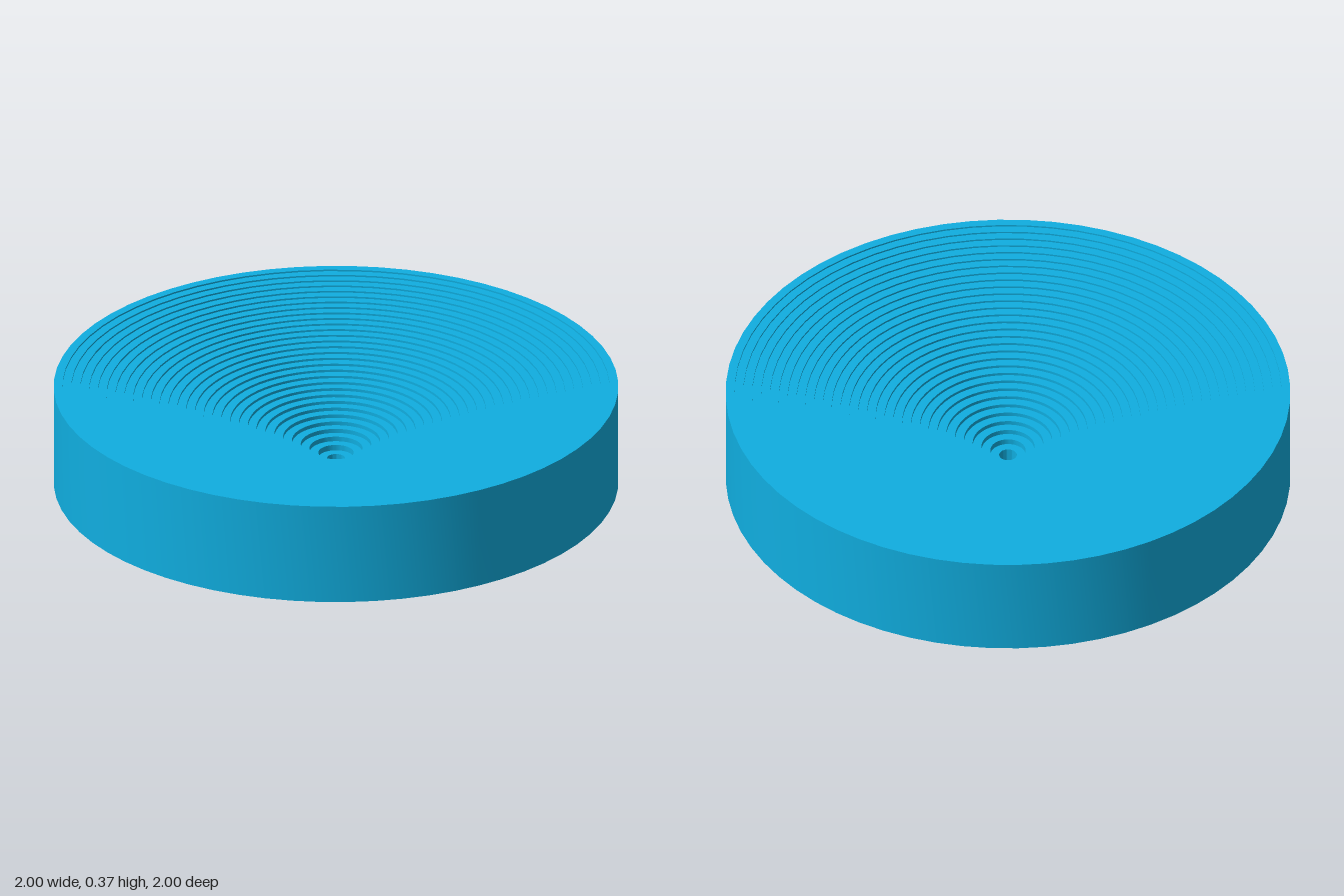
import * as THREE from 'three';
import { toCreasedNormals } from 'three/addons/utils/BufferGeometryUtils.js';

const RINGS = 32;      // equal-width concentric steps, the first one is the open hole
const HEIGHT = 0.373;
const SEGMENTS = 64;

// Tread height follows the square root of the radius, so risers grow towards the centre
const treadHeight = (i) => HEIGHT * Math.sqrt(i / RINGS);

export function createModel() {
  const group = new THREE.Group();
  group.name = 'steppedBowl';

  // Closed profile: outer wall up, steps down to the hole, then the flat underside
  const profile = [new THREE.Vector2(1, 0)];
  for (let i = RINGS; i >= 2; i--) {
    const y = treadHeight(i);
    profile.push(new THREE.Vector2(i / RINGS, y), new THREE.Vector2((i - 1) / RINGS, y));
  }
  profile.push(new THREE.Vector2(1 / RINGS, 0), new THREE.Vector2(1, 0));

  const geometry = toCreasedNormals(new THREE.LatheGeometry(profile, SEGMENTS), Math.PI / 6);
  const bowl = new THREE.Mesh(geometry, new THREE.MeshStandardMaterial({ color: 0x10aee0 }));
  bowl.name = 'concentricSteps';
  group.add(bowl);
  return group;
}
